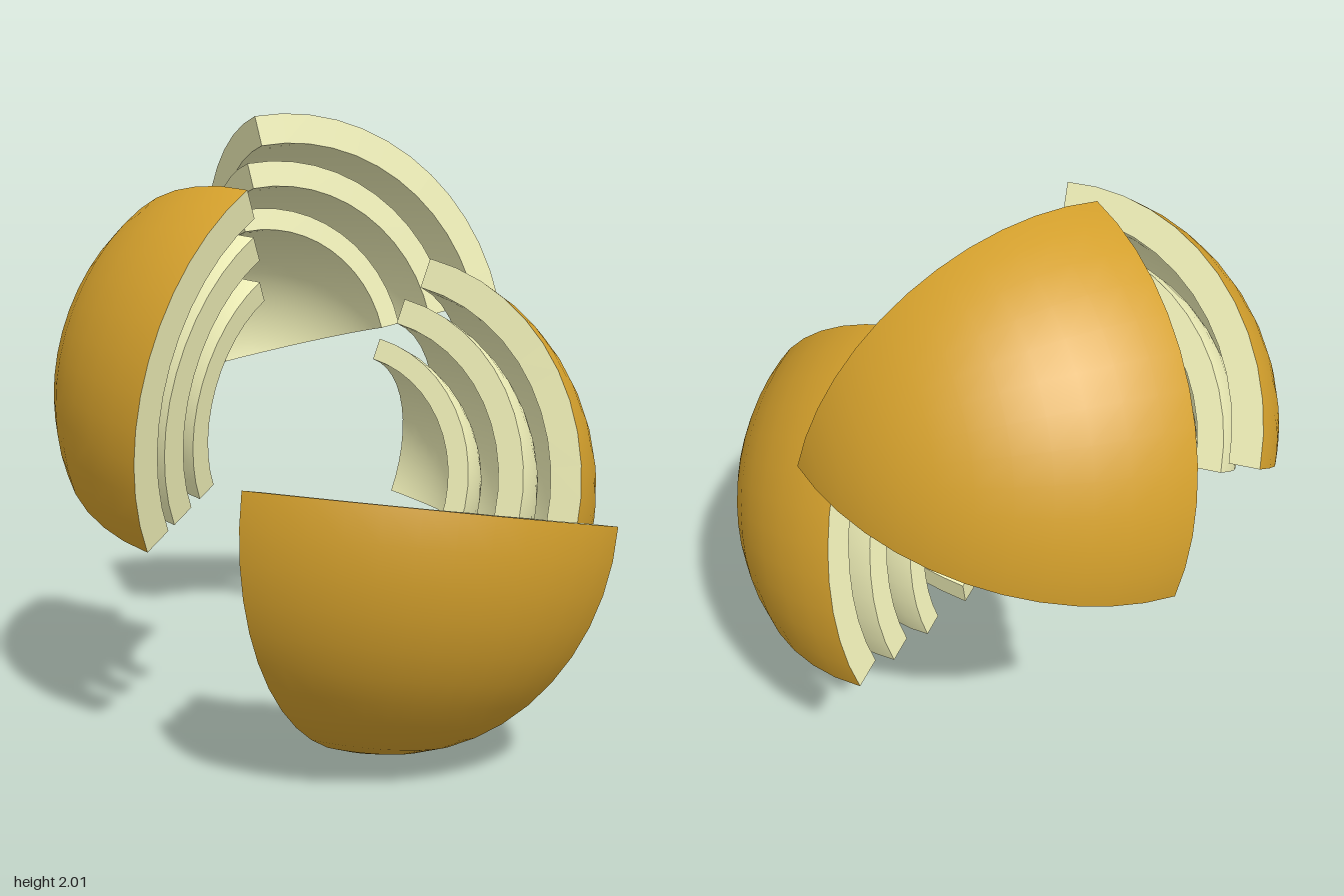
import * as THREE from 'three';
import { mergeGeometries } from 'three/addons/utils/BufferGeometryUtils.js';

const SEG = 12, Q = Math.PI / 2;
const rind = new THREE.MeshStandardMaterial({ color: 0xd4a02c });
const flesh = new THREE.MeshStandardMaterial({ color: 0xf0f0b8 });
const diagonal = new THREE.Vector3(1, 1, 1).normalize();

// One eighth of a sphere, in the +x +y +z octant
const octant = (r) => new THREE.SphereGeometry(r, SEG, SEG, Q, Q, 0, Q);

// Turn a surface inside out
function flip(g) {
  const idx = g.index.array;
  for (let i = 0; i < idx.length; i += 3) [idx[i], idx[i + 1]] = [idx[i + 1], idx[i]];
  const n = g.attributes.normal.array;
  for (let i = 0; i < n.length; i++) n[i] = -n[i];
  return g;
}

// Hollow side and the three flat cut faces of a shell
function cutFaces(inner, outer) {
  const parts = [flip(octant(inner))];
  for (let i = 0; i < 3; i++) {
    const ring = new THREE.RingGeometry(inner, outer, SEG, 1, Q, Q).rotateY(Math.PI);
    const turn = new THREE.Matrix4().makeRotationAxis(diagonal, (i * 2 * Math.PI) / 3);
    parts.push(ring.applyMatrix4(turn));
  }
  return mergeGeometries(parts);
}

// Nested shells: outer and inner radius
const shells = [
  { name: 'outerShell', outer: 0.79, inner: 0.69 },
  { name: 'middleShell', outer: 0.645, inner: 0.56 },
  { name: 'innerShell', outer: 0.5, inner: 0.428 },
];

// Each wedge: the three outer corners (counter-clockwise) and the drift of the innermost shell
const wedges = [
  { name: 'upperRightWedge', corners: [[-0.11, 1.77, 0.48], [-0.945, 1.21, -0.05], [-0.33, 0.69, 0.73]], drift: [-0.055, -0.04, -0.05] },
  { name: 'lowerFrontWedge', corners: [[0.08, 0.95, 0.88], [0.17, 0.0, 0.29], [0.955, 0.79, 0.2]], drift: [-0.11, 0, 0.02] },
  { name: 'upperBackWedge', corners: [[-0.39, 1.99, -0.07], [0.24, 1.36, -0.75], [-0.85, 1.13, -0.55]], drift: [-0.1, -0.03, 0.06] },
  { name: 'leftBackWedge', corners: [[0.19, 1.53, -0.2], [0.77, 0.64, 0.1], [0.07, 0.57, -0.76]], drift: [-0.11, 0, -0.06] },
];

// Place a group so that its octant's corners meet the given three points
function placeByCorners(group, corners) {
  const [a, b, c] = corners.map((p) => new THREE.Vector3(...p));
  const mid = a.clone().add(b).add(c).divideScalar(3);
  const n = b.clone().sub(a).cross(c.clone().sub(a)).normalize();
  const x = a.clone().sub(mid).normalize().multiplyScalar(Math.sqrt(2 / 3)).addScaledVector(n, Math.sqrt(1 / 3));
  const y = x.clone().applyAxisAngle(n, (2 * Math.PI) / 3);
  const z = x.clone().applyAxisAngle(n, (-2 * Math.PI) / 3);
  group.quaternion.setFromRotationMatrix(new THREE.Matrix4().makeBasis(x, y, z));
  group.position.copy(mid).addScaledVector(n, -shells[0].outer / Math.sqrt(3));
}

export function createModel() {
  const model = new THREE.Group();
  model.name = 'explodedLayeredSphere';
  for (const { name, corners, drift } of wedges) {
    const wedge = new THREE.Group();
    wedge.name = name;
    shells.forEach((s, i) => {
      const shell = new THREE.Group();
      shell.name = s.name;
      placeByCorners(shell, corners);
      shell.position.addScaledVector(new THREE.Vector3(...drift), i / 2);
      const skin = new THREE.Mesh(octant(s.outer), i === 0 ? rind : flesh);
      skin.name = s.name + 'Skin';
      const cut = new THREE.Mesh(cutFaces(s.inner, s.outer), flesh);
      cut.name = s.name + 'Cut';
      shell.add(skin, cut);
      wedge.add(shell);
    });
    model.add(wedge);
  }
  return model;
}
